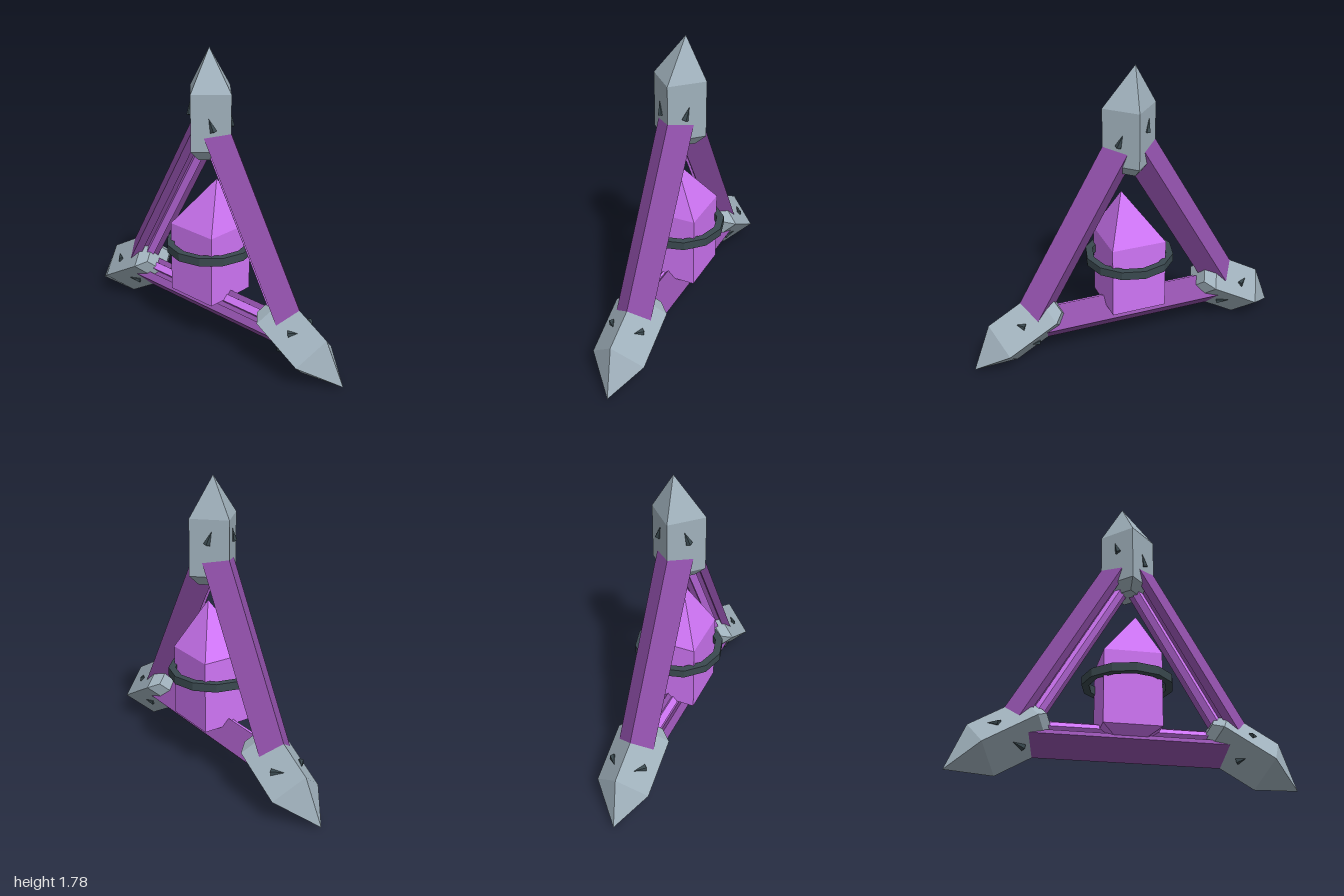
import * as THREE from 'three';

const mat = (color, side = THREE.FrontSide) => new THREE.MeshStandardMaterial({ color, flatShading: true, side });
const STONE = mat(0xa0b1bc), PURPLE = mat(0x8f4fa8), BRIGHT = mat(0xcf75f5);
const DARK = mat(0x3a494f, THREE.DoubleSide);
const CENTRE = 0.603;

function part(name, geometry, material) {
  const m = new THREE.Mesh(geometry, material);
  m.name = name;
  return m;
}

// Four-sided gem: profile of [radius, height] from bottom to top, with its tip pushed off axis
function gem(profile, turn, tipX, tipZ) {
  const g = new THREE.LatheGeometry(profile.map(([r, y]) => new THREE.Vector2(r, y)), 4);
  g.rotateY(turn);
  const p = g.attributes.position, top = profile[profile.length - 1][1];
  for (let i = 0; i < p.count; i++) {
    if (p.getY(i) > top - 1e-4) p.setXYZ(i, tipX, top, tipZ);
  }
  return g.toNonIndexed();
}

// Bar along x from a cross-section of [z, y] corners
function bar(section, length) {
  const shape = new THREE.Shape(section.map(([z, y]) => new THREE.Vector2(z, y)));
  const g = new THREE.ExtrudeGeometry(shape, { depth: length, bevelEnabled: false });
  g.rotateY(-Math.PI / 2);
  g.translate(length / 2, -CENTRE, 0);
  return g;
}

// Per corner: tip height and offset, stud heights on the -x and +x sides, stud tilt and length
const corners = [
  { angle: 0, tip: [1.172, -0.03, -0.02], studs: [0.83, 0.76], tilt: 0.35, size: 0.08 },
  { angle: 2 * Math.PI / 3, tip: [1.163, -0.015, 0.03], studs: [0.757, 0.82], tilt: -0.9, size: 0.075 },
  { angle: -2 * Math.PI / 3, tip: [1.163, 0.015, -0.03], studs: [0.78, 0.78], tilt: 0.9, size: 0.055 },
];

function cornerCap({ tip, studs, tilt, size }) {
  const cap = new THREE.Group();
  cap.name = 'cornerCap';
  const [h, tx, tz] = tip;
  cap.add(part('capStone', gem([[0, 0.54], [0.1, 0.54], [0.163, 0.6], [0.163, 0.935], [0, h]], 0, tx, tz), STONE));
  // Small dark shards set in the four side faces
  for (const sx of [-1, 1]) for (const sz of [-1, 1]) {
    const holder = new THREE.Group();
    holder.name = 'studHolder';
    holder.position.set(sx * 0.083, studs[sx < 0 ? 0 : 1], sz * 0.082);
    holder.rotation.y = Math.atan2(sx, sz);
    const stud = part('stud', new THREE.ConeGeometry(0.021, size, 5), DARK);
    stud.rotation.z = tilt * sz;
    holder.add(stud);
    cap.add(holder);
  }
  return cap;
}

// Beam: diamond section with a groove in its inner front face, holding a bright strip
function beam() {
  const b = new THREE.Group();
  b.name = 'beam';
  b.add(part('beamBody', bar([
    [0, 0.108], [0.11, 0.216], [0.076, 0.25], [0.05, 0.226], [0.002, 0.274], [0.022, 0.302], [0, 0.325], [-0.11, 0.216],
  ], 1.24), PURPLE));
  b.add(part('beamStrip', bar([[0.035, 0.25], [0.062, 0.277], [0.033, 0.31], [0.004, 0.281]], 1.06), BRIGHT));
  return b;
}

export function createModel() {
  const model = new THREE.Group();
  model.name = 'triangleFrame';

  // Three caps and three beams, turned about the middle of the triangle
  for (const corner of corners) {
    const side = new THREE.Group();
    side.name = 'frameSide';
    side.position.y = CENTRE;
    side.rotation.z = corner.angle;
    side.add(cornerCap(corner), beam());
    model.add(side);
  }

  // Central crystal standing on the bottom beam
  const d = Math.SQRT2;
  model.add(part('crystal', gem(
    [[0, 0.24], [0.1 * d, 0.24], [0.168 * d, 0.28], [0.168 * d, 0.717], [0, 1.015]], Math.PI / 4, 0.05, 0,
  ), BRIGHT));

  // Twelve-sided band around the crystal
  const band = [[0.225, 0.556], [0.268, 0.556], [0.268, 0.606], [0.225, 0.606], [0.225, 0.556]]
    .map(([r, y]) => new THREE.Vector2(r, y));
  model.add(part('crystalRing', new THREE.LatheGeometry(band, 12), DARK));
  return model;
}
